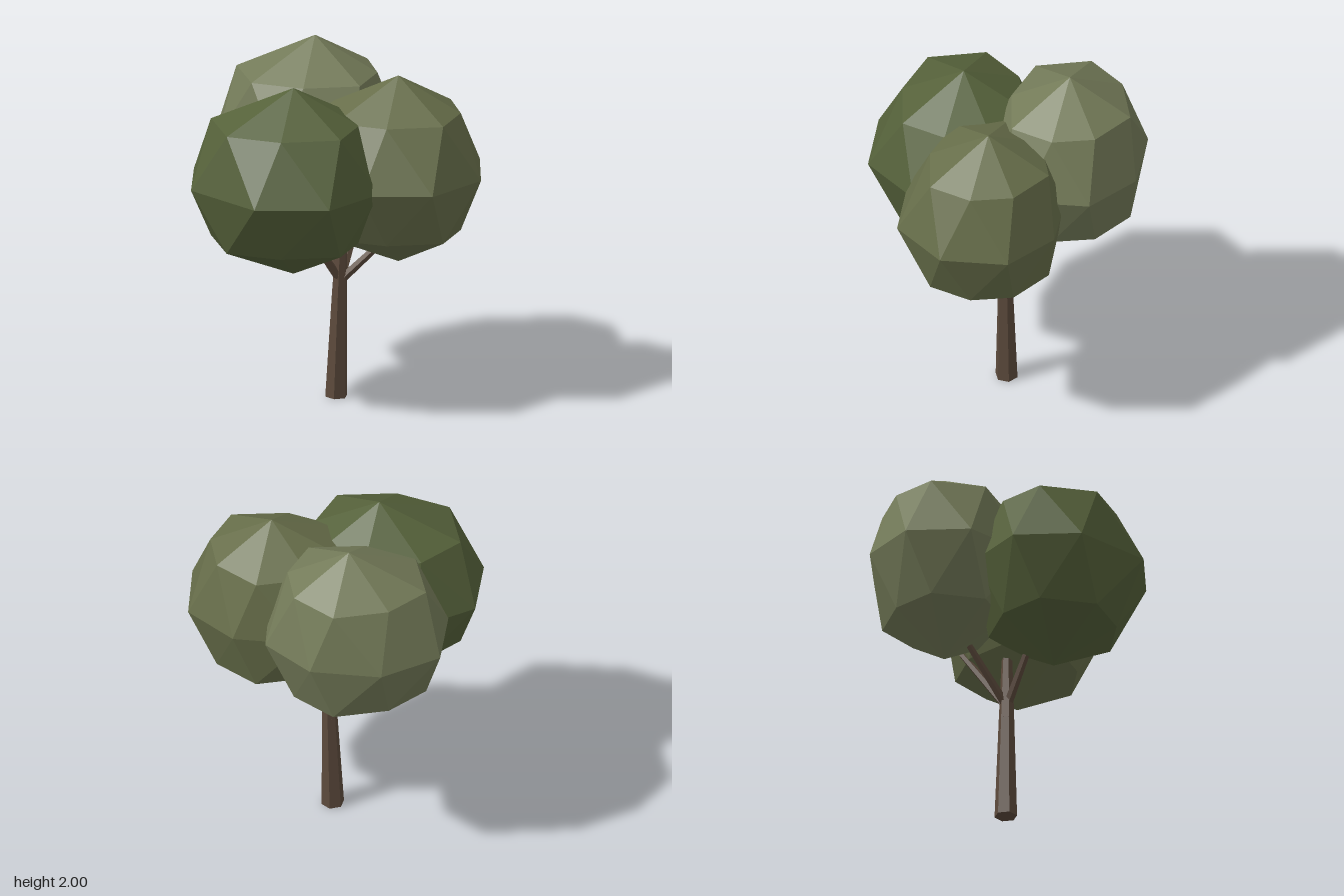
import * as THREE from 'three';
import { ConvexGeometry } from 'three/addons/geometries/ConvexGeometry.js';

const mat = (color) => new THREE.MeshStandardMaterial({ color, flatShading: true });
const bark = mat(0x5c4a3c);
const V = (x, y, z) => new THREE.Vector3(x, y, z);

// Tapered limb between two points
function limb(name, a, b, r0, r1, sides) {
  const d = b.clone().sub(a);
  const mesh = new THREE.Mesh(new THREE.CylinderGeometry(r1, r0, d.length(), sides), bark);
  mesh.name = name;
  mesh.position.copy(a).add(b).multiplyScalar(0.5);
  mesh.quaternion.setFromUnitVectors(V(0, 1, 0), d.normalize());
  return mesh;
}

// Faceted crown: two poles, two matching rings and a wider, slightly turned middle ring
function crownGeometry() {
  const ring = [[-0.44, 0.02], [-0.29, -0.21], [-0.01, -0.35], [0.25, -0.23],
    [0.35, -0.01], [0.30, 0.24], [0, 0.34], [-0.30, 0.30]];
  const middle = [[-0.555, -0.10], [-0.29, -0.36], [0.105, -0.42], [0.41, -0.25],
    [0.49, 0.12], [0.28, 0.44], [-0.11, 0.51], [-0.50, 0.26]];
  const points = [V(0, 0.545, 0), V(0, -0.545, 0)];
  for (const [x, z] of middle) points.push(V(x, 0, z));
  for (const [x, z] of ring) points.push(V(x, 0.344, z), V(x, -0.342, z));
  return new ConvexGeometry(points);
}

export function createModel() {
  const tree = new THREE.Group();
  tree.name = 'tree';

  // Trunk in three tapering lengths
  const trunk = new THREE.Group();
  trunk.name = 'trunk';
  const joints = [[V(-0.04, 0, -0.05), 0.064], [V(-0.031, 0.3, -0.05), 0.054],
    [V(-0.022, 0.6, -0.05), 0.044], [V(-0.008, 0.98, -0.05), 0.03]];
  for (let i = 0; i < 3; i++) {
    trunk.add(limb('trunkSegment', joints[i][0], joints[i + 1][0], joints[i][1], joints[i + 1][1], 6));
  }
  tree.add(trunk);

  // Branches fanning out into the crowns
  const fork = V(-0.015, 0.68, -0.05);
  const tips = { frontBranch: V(-0.17, 1.02, 0.13), leftBranch: V(0.27, 0.97, -0.06),
    backBranch: V(-0.18, 1.02, -0.24), upperBranch: V(0.06, 1.06, -0.32) };
  for (const [name, tip] of Object.entries(tips)) tree.add(limb(name, fork, tip, 0.026, 0.018, 5));

  // Three crowns of one shape
  const geometry = crownGeometry();
  const crowns = [['frontCrown', -0.22, 1.355, 0.26, 1.05, 0x55613a],
    ['leftCrown', 0.31, 1.355, -0.06, 1, 0x676e4a],
    ['backCrown', -0.22, 1.455, -0.36, 1, 0x737a58]];
  for (const [name, x, y, z, s, color] of crowns) {
    const crown = new THREE.Mesh(geometry, mat(color));
    crown.name = name;
    crown.position.set(x, y, z);
    crown.scale.set(s, 1, s);
    tree.add(crown);
  }
  return tree;
}
